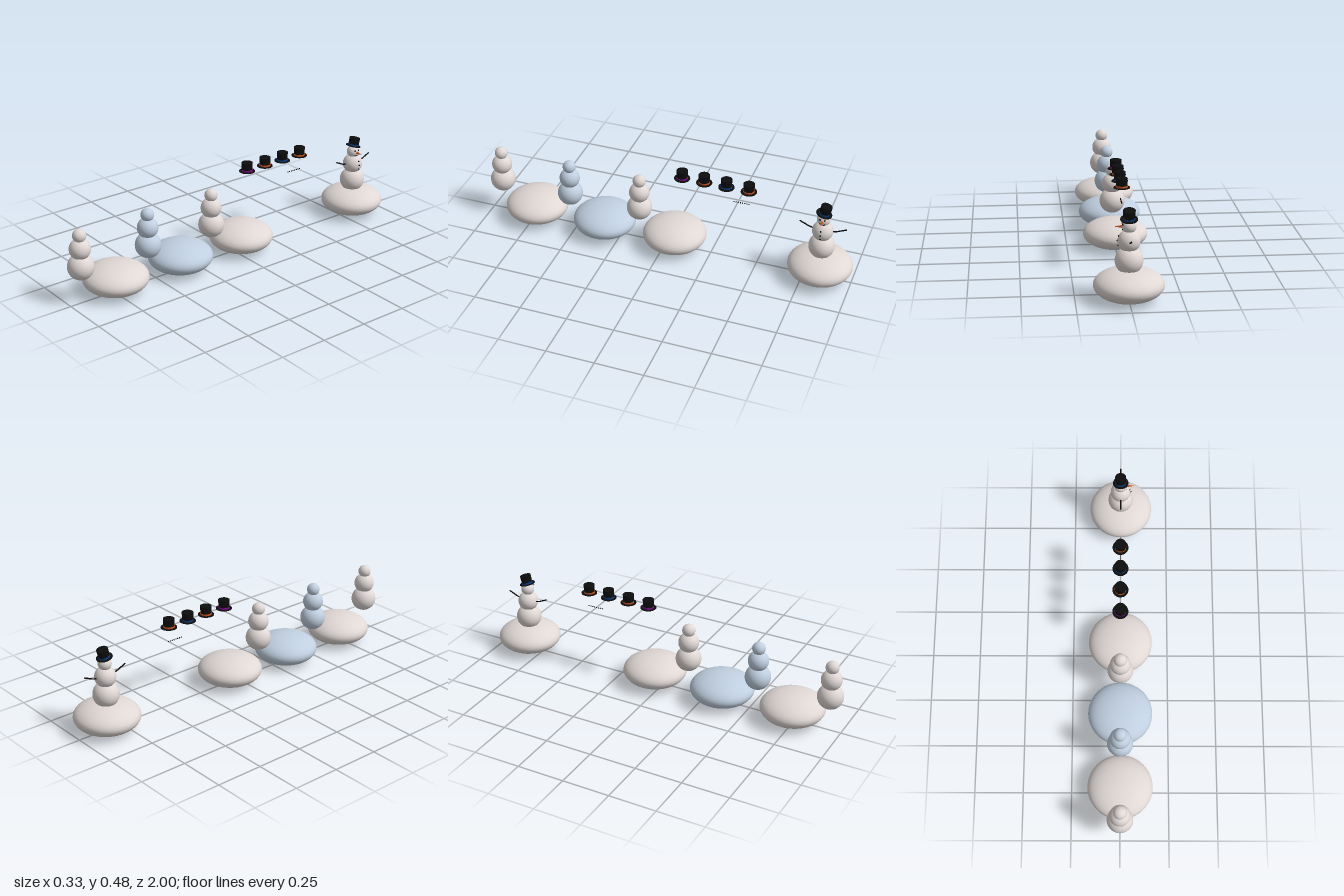
import * as THREE from 'three';

const mat = (name, color) => {
  const m = new THREE.MeshStandardMaterial({ color });
  m.name = name;
  return m;
};

export function createModel() {
  const root = new THREE.Group();
  root.name = 'snowmanSet';
  const snow = mat('warm snow', 0xe0d8d5);
  const ice = mat('icy blue snow', 0xc0cfe0);
  const black = mat('coal black', 0x0d0d0d);
  const purple = mat('purple ribbon', 0x7d0a90);
  const blue = mat('blue ribbon', 0x0b3d85);
  const orange = mat('carrot orange', 0xc8551c);

  const add = (parent, name, geo, material, x = 0, y = 0, z = 0) => {
    const m = new THREE.Mesh(geo, material);
    m.name = name;
    m.position.set(x, y, z);
    parent.add(m);
    return m;
  };
  const group = (name, x, y, z) => {
    const g = new THREE.Group();
    g.name = name;
    g.position.set(x, y, z);
    root.add(g);
    return g;
  };

  // Flattened snow mound
  const moundGeo = new THREE.SphereGeometry(0.167, 48, 32).scale(1, 0.465, 1);
  const mound = (z, m) => add(root, 'mound', moundGeo, m, 0, 0.079, z);

  // Three stacked snowballs: [name, radius, height]
  const balls = [['lowerBall', 0.0665, 0.197], ['middleBall', 0.0535, 0.291], ['head', 0.034, 0.361]];
  const body = (z, m) => {
    const g = group('snowmanBody', 0, 0, z);
    for (const [name, r, y] of balls) add(g, name, new THREE.SphereGeometry(r, 40, 28), m, 0, y, 0);
    return g;
  };

  // Top hat with a ribbon, origin at the brim
  const hat = (y, z, ribbon) => {
    const g = group('topHat', 0, y, z);
    add(g, 'brim', new THREE.CylinderGeometry(0.041, 0.041, 0.003, 40), black);
    add(g, 'crown', new THREE.CylinderGeometry(0.029, 0.028, 0.047, 40), black, 0, 0.0235, 0);
    add(g, 'ribbon', new THREE.CylinderGeometry(0.0295, 0.0295, 0.009, 40), ribbon, 0, 0.0065, 0);
    return g;
  };

  // Row of separate bodies and mounds
  [[0.933, snow], [0.54, ice], [0.147, snow]].forEach(([z, m]) => {
    body(z, m);
    mound(z - 0.196, m);
  });

  // Spare hats
  [purple, orange, blue, orange].forEach((r, i) => hat(0.434, -0.088 - i * 0.118, r));

  // Spare row of coal
  const coal = new THREE.SphereGeometry(0.0032, 12, 8);
  for (let i = 0; i < 8; i++) add(root, 'spareCoal', coal, black, 0, 0.356, -0.366 - i * 0.0115);

  // Finished snowman, facing +x
  const Z = -0.833;
  mound(Z, snow);
  const man = body(Z, snow);
  man.name = 'finishedSnowman';
  hat(0.394, Z, blue).rotation.x = -0.24;

  const nose = new THREE.ConeGeometry(0.0075, 0.042, 16).rotateZ(-Math.PI / 2);
  add(man, 'carrotNose', nose, orange, 0.05, 0.361, 0);

  // Eyes and smile on the head surface
  const onBall = (name, r, cy, dy, z, size) => add(man, name,
    new THREE.SphereGeometry(size, 14, 10), black, Math.sqrt(r * r - dy * dy - z * z), cy + dy, z);
  for (const s of [-1, 1]) onBall('eye', 0.034, 0.361, 0.012, s * 0.012, 0.0045);
  for (let i = -2; i <= 2; i++) onBall('mouthCoal', 0.034, 0.361, -0.017 + i * i * 0.0012, i * 0.006, 0.0028);
  // Buttons
  for (const dy of [0.024, 0.002, -0.02]) onBall('button', 0.0535, 0.291, dy, 0, 0.0042);

  // Upward curving stick arms
  for (const s of [-1, 1]) {
    const path = new THREE.CatmullRomCurve3([[0.296, 0.045], [0.3, 0.068], [0.311, 0.093], [0.322, 0.118]]
      .map(([y, z]) => new THREE.Vector3(0, y, s * z)));
    add(man, 'arm', new THREE.TubeGeometry(path, 16, 0.0035, 8), black);
    add(man, 'armTip', new THREE.SphereGeometry(0.0035, 8, 6), black, 0, 0.322, s * 0.118);
  }
  return root;
}
